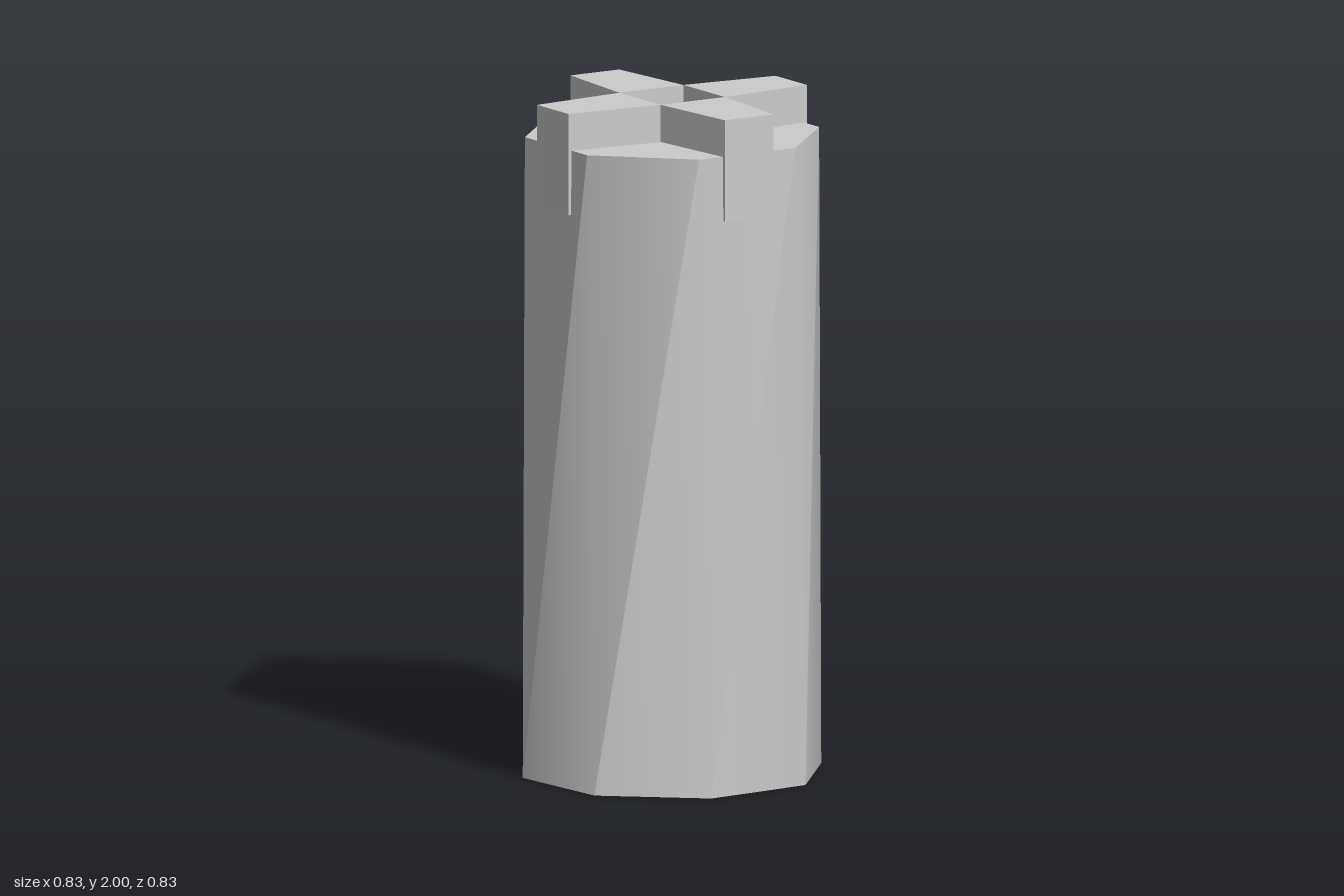
import * as THREE from 'three';

const SIDES = 8, STEP = Math.PI / 4;
const CAP_Y = 1.89, TOP_Y = 2;
const TWIST = THREE.MathUtils.degToRad(4.4);

const material = new THREE.MeshStandardMaterial({ color: 0xcccccc, side: THREE.DoubleSide });

function ringPoint(radius, k, y, offset = 0) {
  const a = STEP * (k + 0.5) + offset;
  return [radius * Math.cos(a), y, radius * Math.sin(a)];
}

function addMesh(parent, name, geometry) {
  const mesh = new THREE.Mesh(geometry, material);
  mesh.name = name;
  parent.add(mesh);
  return mesh;
}

const low = (k) => ringPoint(0.449, k, 0);
const high = (k) => ringPoint(0.435, k, CAP_Y, TWIST);

// Slanted wall panels, each smooth within itself and split from its neighbours
function wallGeometry() {
  const positions = [], index = [];
  for (let k = 0; k < SIDES; k++) {
    const n = k * 4;
    positions.push(...low(k), ...low(k + 1), ...high(k), ...high(k - 1));
    index.push(n, n + 2, n + 1, n, n + 3, n + 2);
  }
  const g = new THREE.BufferGeometry();
  g.setAttribute('position', new THREE.Float32BufferAttribute(positions, 3));
  g.setIndex(index);
  g.computeVertexNormals();
  return g;
}

// Flat octagonal lid
function capGeometry() {
  const shape = new THREE.Shape();
  for (let k = 0; k < SIDES; k++) {
    const [x, , z] = high(k);
    if (k) shape.lineTo(x, -z);
    else shape.moveTo(x, -z);
  }
  return new THREE.ShapeGeometry(shape).rotateX(-Math.PI / 2).translate(0, CAP_Y, 0);
}

// Tapered bar lying on the lid, running outward along +x
function armGeometry() {
  const inner = 0.111, outer = 0.413, half = 0.084;
  const shape = new THREE.Shape([
    new THREE.Vector2(inner, -inner), new THREE.Vector2(outer, -half),
    new THREE.Vector2(outer, half), new THREE.Vector2(inner, inner),
  ]);
  return new THREE.ExtrudeGeometry(shape, { depth: TOP_Y - CAP_Y, bevelEnabled: false })
    .rotateX(-Math.PI / 2).translate(0, CAP_Y, 0);
}

export function createModel() {
  const model = new THREE.Group();
  model.name = 'twistedOctagonalPost';

  // Body, open underneath
  addMesh(model, 'bodyWall', wallGeometry());
  addMesh(model, 'bodyCap', capGeometry());

  // Four clamps: a bar on the lid and a tab folded down over the wall
  const arm = armGeometry();
  const tab = new THREE.BoxGeometry(0.033, CAP_Y - 1.7, 0.168).translate(0.3965, (CAP_Y + 1.7) / 2, 0);
  for (let i = 0; i < 4; i++) {
    const clamp = new THREE.Group();
    clamp.name = 'clamp' + (i + 1);
    addMesh(clamp, 'clampArm', arm);
    addMesh(clamp, 'clampTab', tab);
    clamp.rotation.y = -(STEP + TWIST) - i * Math.PI / 2;
    model.add(clamp);
  }
  return model;
}
